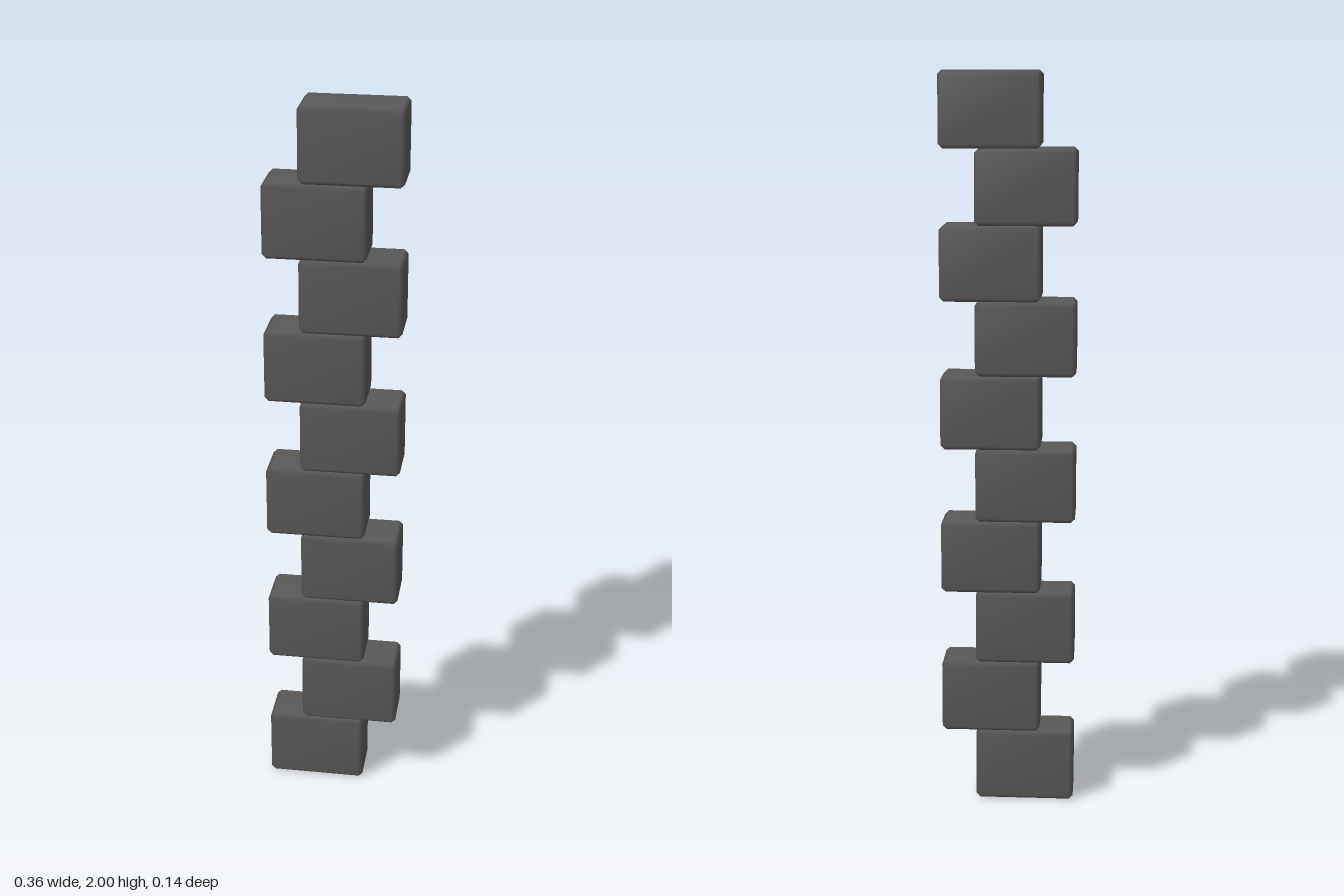
import * as THREE from 'three';
import { mergeVertices } from 'three/addons/utils/BufferGeometryUtils.js';
import { ConvexGeometry } from 'three/addons/geometries/ConvexGeometry.js';

// Box with chamfered edges and softly blended normals
function chamferedBox(width, height, depth, c) {
  const [x, y, z] = [width / 2, height / 2, depth / 2];
  const points = [];
  for (const sx of [-1, 1]) for (const sy of [-1, 1]) for (const sz of [-1, 1]) {
    points.push(
      new THREE.Vector3(sx * x, sy * (y - c), sz * (z - c)),
      new THREE.Vector3(sx * (x - c), sy * y, sz * (z - c)),
      new THREE.Vector3(sx * (x - c), sy * (y - c), sz * z)
    );
  }
  const hull = new ConvexGeometry(points);
  hull.deleteAttribute('normal');
  const geometry = mergeVertices(hull, 1e-5);
  geometry.computeVertexNormals();
  return geometry;
}

export function createModel() {
  const group = new THREE.Group();
  group.name = 'cornerQuoins';
  const material = new THREE.MeshStandardMaterial({ color: 0x5b5957 });

  // Ten stacked blocks, shifted alternately to the right and left
  const count = 10, height = 0.2;
  const geometry = chamferedBox(0.27, height, 0.14, 0.011);
  for (let i = 0; i < count; i++) {
    const block = new THREE.Mesh(geometry, material);
    block.name = `block${i + 1}`;
    block.position.set(i % 2 ? 0.047 : -0.047, height * (i + 0.5), 0);
    group.add(block);
  }
  return group;
}
